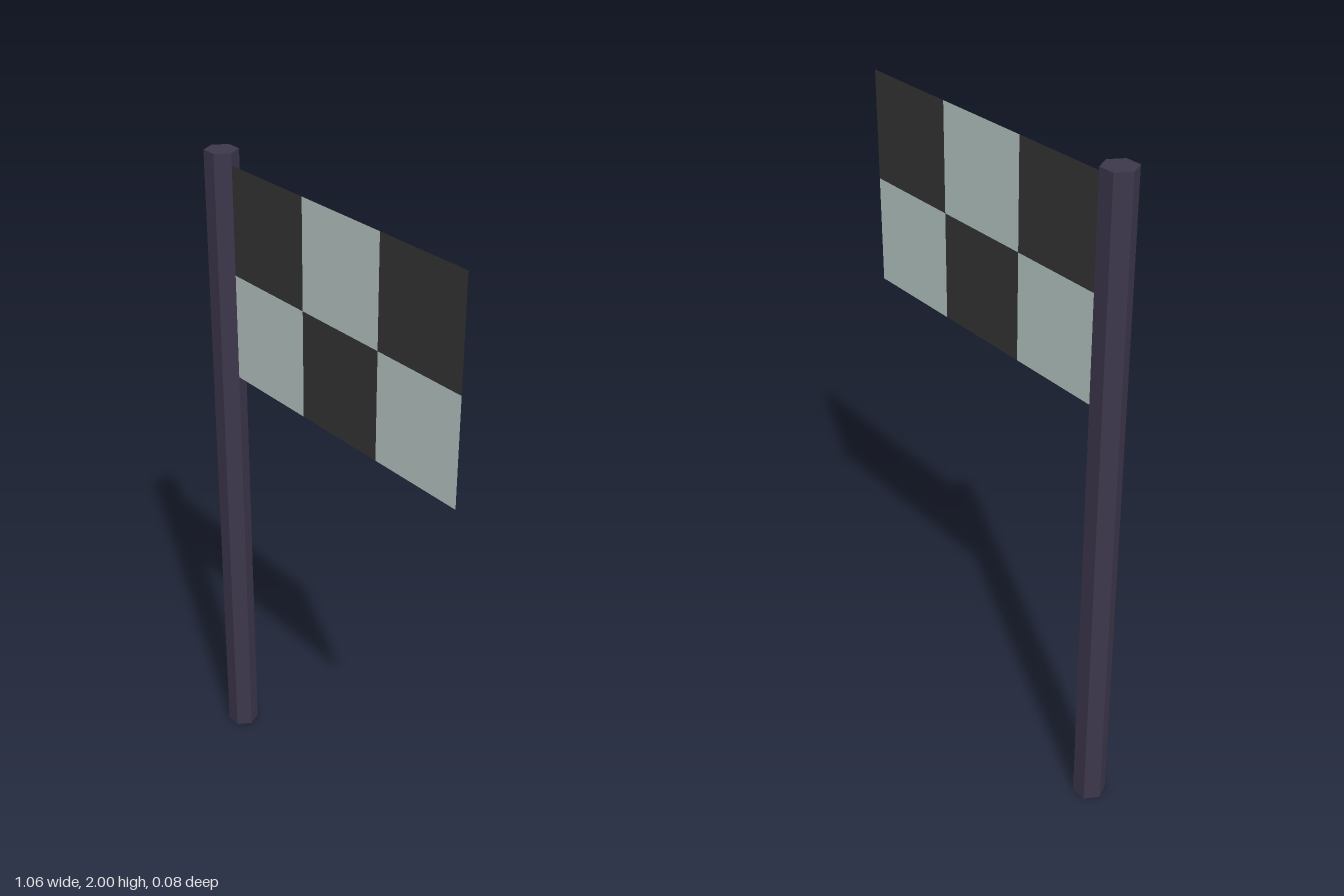
import * as THREE from 'three';

export function createModel() {
  const group = new THREE.Group();
  const material = (name, color, extra = {}) => {
    const m = new THREE.MeshStandardMaterial({ color, ...extra });
    m.name = name;
    return m;
  };
  const poleMaterial = material('darkPurple', 0x3d374b, { flatShading: true });
  const darkCloth = material('darkCloth', 0x353535, { side: THREE.DoubleSide });
  const lightCloth = material('lightCloth', 0xb9c9c7, { side: THREE.DoubleSide });

  // Hexagonal pole with corners pointing along x
  const radius = 0.049, poleX = -0.482;
  const pole = new THREE.Mesh(
    new THREE.CylinderGeometry(radius, radius, 2, 6, 1, false, Math.PI / 6), poleMaterial);
  pole.name = 'pole';
  pole.position.set(poleX, 1, 0);
  group.add(pole);

  // Flat checkered flag, three columns by two rows, attached to the pole
  const flag = new THREE.Group();
  flag.name = 'flag';
  const cell = 0.321, left = poleX + radius, top = 1.966;
  const square = new THREE.PlaneGeometry(cell, cell);
  for (let row = 0; row < 2; row++) {
    for (let col = 0; col < 3; col++) {
      const isDark = (row + col) % 2 === 0;
      const mesh = new THREE.Mesh(square, isDark ? darkCloth : lightCloth);
      mesh.name = isDark ? 'darkSquare' : 'lightSquare';
      mesh.position.set(left + (col + 0.5) * cell, top - (row + 0.5) * cell, 0);
      flag.add(mesh);
    }
  }
  group.add(flag);
  return group;
}
